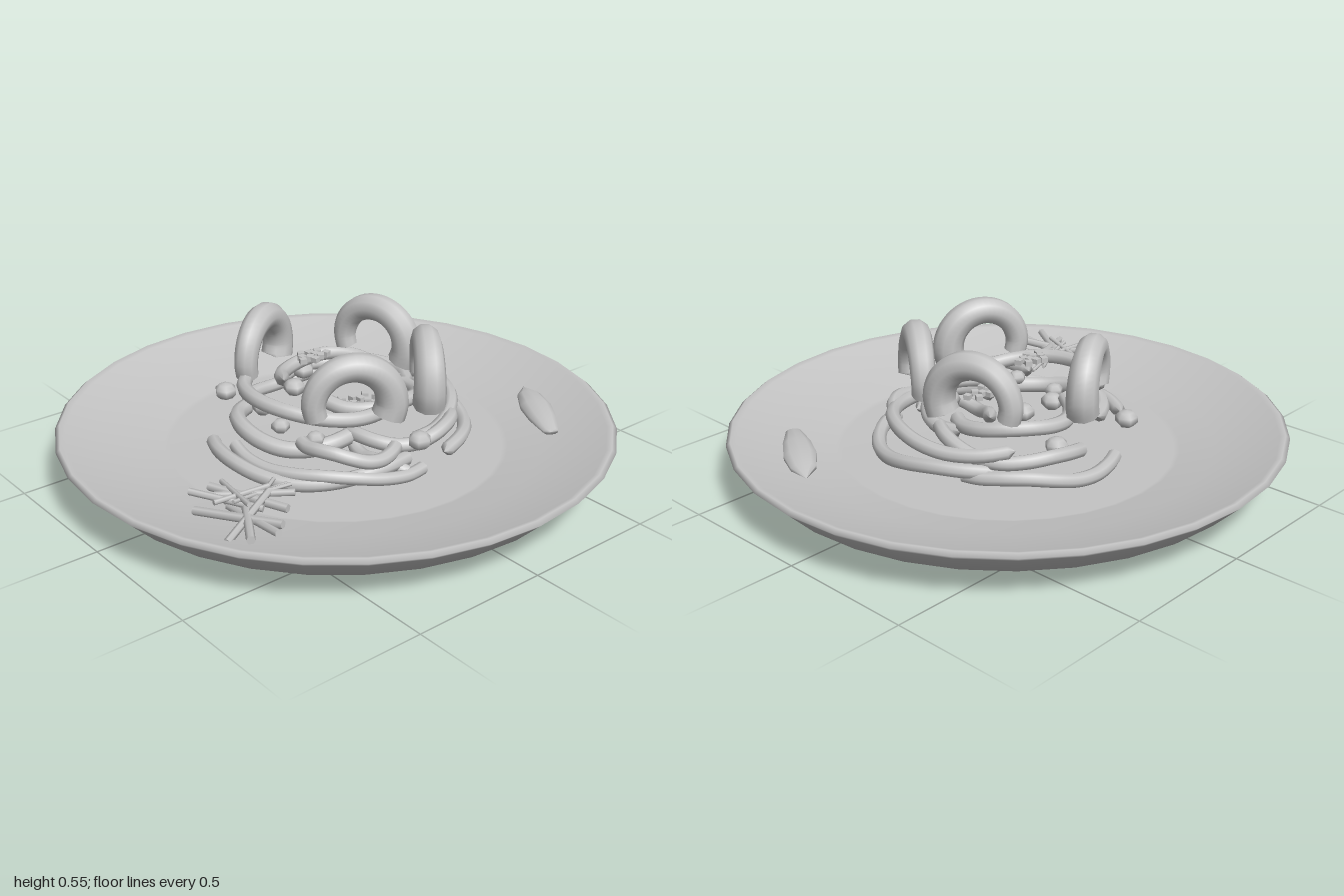
import * as THREE from 'three';

export function createModel() {
  const model = new THREE.Group();
  const grey = new THREE.MeshStandardMaterial({ color: 0xc4c4c4 });
  grey.name = 'plainGrey';
  const V = (x, y, z) => new THREE.Vector3(x, y, z);

  const add = (name, geometry, parent = model) => {
    const mesh = new THREE.Mesh(geometry, grey);
    mesh.name = name;
    parent.add(mesh);
    return mesh;
  };
  const group = (name) => {
    const g = new THREE.Group();
    g.name = name;
    model.add(g);
    return g;
  };

  // Tube with radius running from r0 to r1, its end rings pulled in to close it
  const taperedTube = (points, r0, r1, steps = 36, sides = 8) => {
    const curve = new THREE.CatmullRomCurve3(points);
    const geometry = new THREE.TubeGeometry(curve, steps, 1, sides);
    const pos = geometry.attributes.position;
    const p = V(0, 0, 0);
    for (let i = 0; i < pos.count; i++) {
      const ring = Math.floor(i / (sides + 1));
      const t = ring / steps;
      const end = ring === 0 || ring === steps;
      const centre = curve.getPointAt(t);
      p.fromBufferAttribute(pos, i).sub(centre);
      p.multiplyScalar(end ? 0 : r0 + (r1 - r0) * t).add(centre);
      pos.setXYZ(i, p.x, p.y, p.z);
    }
    return geometry;
  };

  // Plate: short foot, shallow underside, sloping rim and flat well
  const profile = [
    [0, 0], [0.6, 0], [0.6, 0.02], [0.62, 0.045], [0.9, 0.08], [0.985, 0.165],
    [1, 0.18], [0.985, 0.192], [0.965, 0.185], [0.87, 0.155], [0.74, 0.122],
    [0.62, 0.1], [0.6, 0.093], [0, 0.093],
  ].map(([r, y]) => new THREE.Vector2(r, y));
  add('plate', new THREE.LatheGeometry(profile, 32));

  // Noodles: [centre x, centre z, radius, start degrees, sweep degrees, start y, end y, thickness]
  const noodles = group('noodles');
  [
    [-0.08, 0, 0.38, 212, -140, 0.14, 0.15, 0.026],
    [0.1, 0.03, 0.37, 80, -130, 0.13, 0.18, 0.026],
    [0.05, -0.1, 0.35, 242, 110, 0.13, 0.17, 0.026],
    [-0.03, 0.03, 0.39, 195, -120, 0.18, 0.13, 0.023],
    [0.07, 0, 0.36, 95, -150, 0.22, 0.24, 0.026],
    [-0.13, -0.03, 0.23, 250, -170, 0.21, 0.2, 0.03],
    [0.1, -0.12, 0.26, 250, 150, 0.19, 0.24, 0.026],
    [0.12, 0.18, 0.2, 190, -160, 0.2, 0.22, 0.026],
    [-0.05, -0.03, 0.27, 20, 215, 0.28, 0.33, 0.027],
    [0.08, -0.1, 0.2, 200, 200, 0.29, 0.27, 0.027],
    [0.1, 0.02, 0.2, 170, -190, 0.3, 0.24, 0.027],
    [-0.13, 0.22, 0.17, 200, -150, 0.25, 0.2, 0.025],
    [0.17, 0.26, 0.24, 140, 90, 0.13, 0.16, 0.026],
  ].forEach(([cx, cz, r, start, sweep, y0, y1, thick], n) => {
    const points = [];
    for (let i = 0; i <= 8; i++) {
      const t = i / 8;
      const a = THREE.MathUtils.degToRad(start + sweep * t);
      const wave = 0.012 * Math.sin(t * 9 + n);
      points.push(V(cx + r * Math.cos(a), y0 + (y1 - y0) * t + wave, cz + r * Math.sin(a)));
    }
    add('noodle', taperedTube(points, thick, thick), noodles);
  });

  // Four thick curled pieces standing around the heap: [x, z, heading of the thick end]
  const curls = group('curledPieces');
  [
    [-0.11, -0.29, -28],
    [0.28, -0.11, 72],
    [0.21, 0.24, 126],
    [-0.14, 0.26, 28],
  ].forEach(([x, z, heading]) => {
    const points = [];
    for (let i = 0; i <= 8; i++) {
      const a = THREE.MathUtils.degToRad(205 - 235 * i / 8);
      points.push(V(0.135 * Math.cos(a), 0.365 + 0.135 * Math.sin(a), 0));
    }
    const curl = add('curledPiece', taperedTube(points, 0.04, 0.06, 32, 10), curls);
    curl.position.set(x, 0, z);
    curl.rotation.y = -THREE.MathUtils.degToRad(heading);
  });

  // Chunky bits tucked between the noodles
  const chunks = group('chunks');
  [
    [-0.23, 0.22, -0.36, 0.043], [0.11, 0.22, -0.33, 0.043], [0.05, 0.22, 0.39, 0.043],
    [-0.23, 0.23, 0.17, 0.035], [-0.25, 0.22, 0, 0.035], [-0.23, 0.24, -0.13, 0.04],
    [-0.08, 0.27, -0.14, 0.042], [0.06, 0.27, -0.13, 0.042],
  ].forEach(([x, y, z, r], i) => {
    const chunk = add('chunk', new THREE.SphereGeometry(r, 6, 5), chunks);
    chunk.position.set(x, y, z);
    chunk.scale.y = 0.75;
    chunk.rotation.y = i * 0.9;
  });

  // Tiny diced crumbs in two scatters
  const crumbs = group('crumbs');
  [[-0.06, 0.415, -0.06, 0.06, 0.045], [0.02, 0.27, 0.09, 0.09, 0.05]].forEach(([cx, cy, cz, rx, rz]) => {
    for (let i = 0; i < 10; i++) {
      const a = i * 2.4;
      const s = Math.sqrt((i + 0.5) / 10);
      const crumb = add('crumb', new THREE.BoxGeometry(0.024, 0.018, 0.024), crumbs);
      crumb.position.set(cx + rx * s * Math.cos(a), cy, cz + rz * s * Math.sin(a));
      crumb.rotation.y = a;
    }
  });

  // Shredded garnish: rods from (x, z) to (x, z) with height and radius
  const shreds = group('shreddedGarnish');
  [
    [-0.65, 0.14, -0.54, 0.42, 0.18, 0.015], [-0.75, 0.2, -0.62, 0.5, 0.17, 0.015],
    [-0.66, 0.53, -0.65, 0.25, 0.17, 0.014], [-0.75, 0.51, -0.6, 0.27, 0.18, 0.015],
    [-0.79, 0.44, -0.54, 0.32, 0.18, 0.013], [-0.48, 0.38, -0.67, 0.2, 0.19, 0.012],
    [-0.74, 0.16, -0.6, 0.37, 0.19, 0.012], [-0.43, 0.27, -0.68, 0.32, 0.19, 0.007],
    [-0.46, 0.24, -0.64, 0.35, 0.18, 0.007], [-0.45, 0.32, -0.66, 0.24, 0.18, 0.007],
    [-0.6, 0.14, -0.66, 0.38, 0.2, 0.009], [-0.72, 0.27, -0.52, 0.29, 0.2, 0.009],
  ].forEach(([x0, z0, x1, z1, y, r], i) => {
    const tilt = 0.02 * Math.sin(i * 2);
    const a = V(x0, y - tilt, z0);
    const b = V(x1, y + tilt, z1);
    const rod = add('shred', new THREE.CylinderGeometry(r, r, a.distanceTo(b), 6), shreds);
    rod.position.copy(a).lerp(b, 0.5);
    rod.quaternion.setFromUnitVectors(V(0, 1, 0), b.sub(a).normalize());
  });

  // Slim wedge lying on the rim, blunt at one end and pointed at the other
  const wedgeProfile = [[0, -0.195], [0.028, -0.19], [0.052, -0.08], [0.06, 0.02], [0.045, 0.12], [0, 0.2]]
    .map(([r, y]) => new THREE.Vector2(r, y));
  const wedgeShape = new THREE.LatheGeometry(wedgeProfile, 10);
  wedgeShape.scale(1, 1, 0.45);
  wedgeShape.rotateX(-Math.PI / 2);
  const wedge = add('wedge', wedgeShape);
  wedge.position.set(0.655, 0.15, 0.375);
  wedge.rotation.y = -0.56;

  return model;
}
